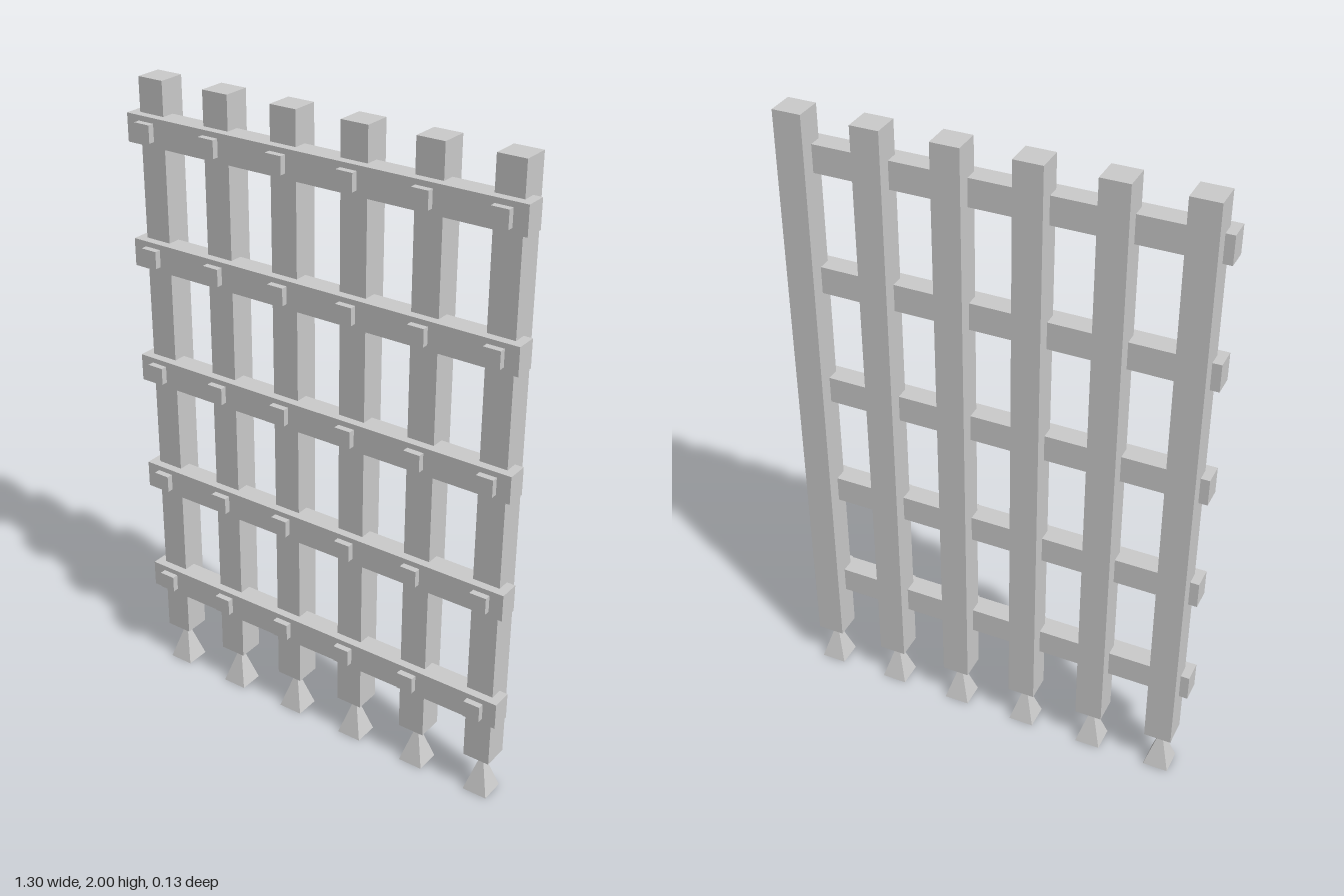
import * as THREE from 'three';

export function createModel() {
  const group = new THREE.Group();
  const iron = new THREE.MeshStandardMaterial({ color: 0xcccccc });
  iron.name = 'light iron grey';

  const postXs = Array.from({ length: 6 }, (_, i) => -0.579 + i * 0.2316);
  const railYs = Array.from({ length: 5 }, (_, i) => 0.341 + i * 0.3785);

  const add = (name, geometry, x, y, z) => {
    const mesh = new THREE.Mesh(geometry, iron);
    mesh.name = name;
    mesh.position.set(x, y, z);
    group.add(mesh);
  };

  // Shared geometries; the spike is a square pyramid aligned with the posts
  const post = new THREE.BoxGeometry(0.086, 1.866, 0.084);
  const spike = new THREE.ConeGeometry(0.04 * Math.SQRT2, 0.134, 4, 1)
    .rotateY(Math.PI / 4).toNonIndexed();
  spike.computeVertexNormals();
  const rail = new THREE.BoxGeometry(1.298, 0.085, 0.066);
  const rivet = new THREE.BoxGeometry(0.053, 0.053, 0.03);

  // Upright bars, each standing on the tip of a spike
  for (const x of postXs) {
    add('post', post, x, 1.067, -0.023);
    add('spike', spike, x, 0.067, -0.023);
  }

  // Cross rails in front, with a square rivet at every crossing
  for (const y of railYs) {
    add('rail', rail, 0, y, 0.012);
    for (const x of postXs) add('rivet', rivet, x, y, 0.05);
  }

  return group;
}
